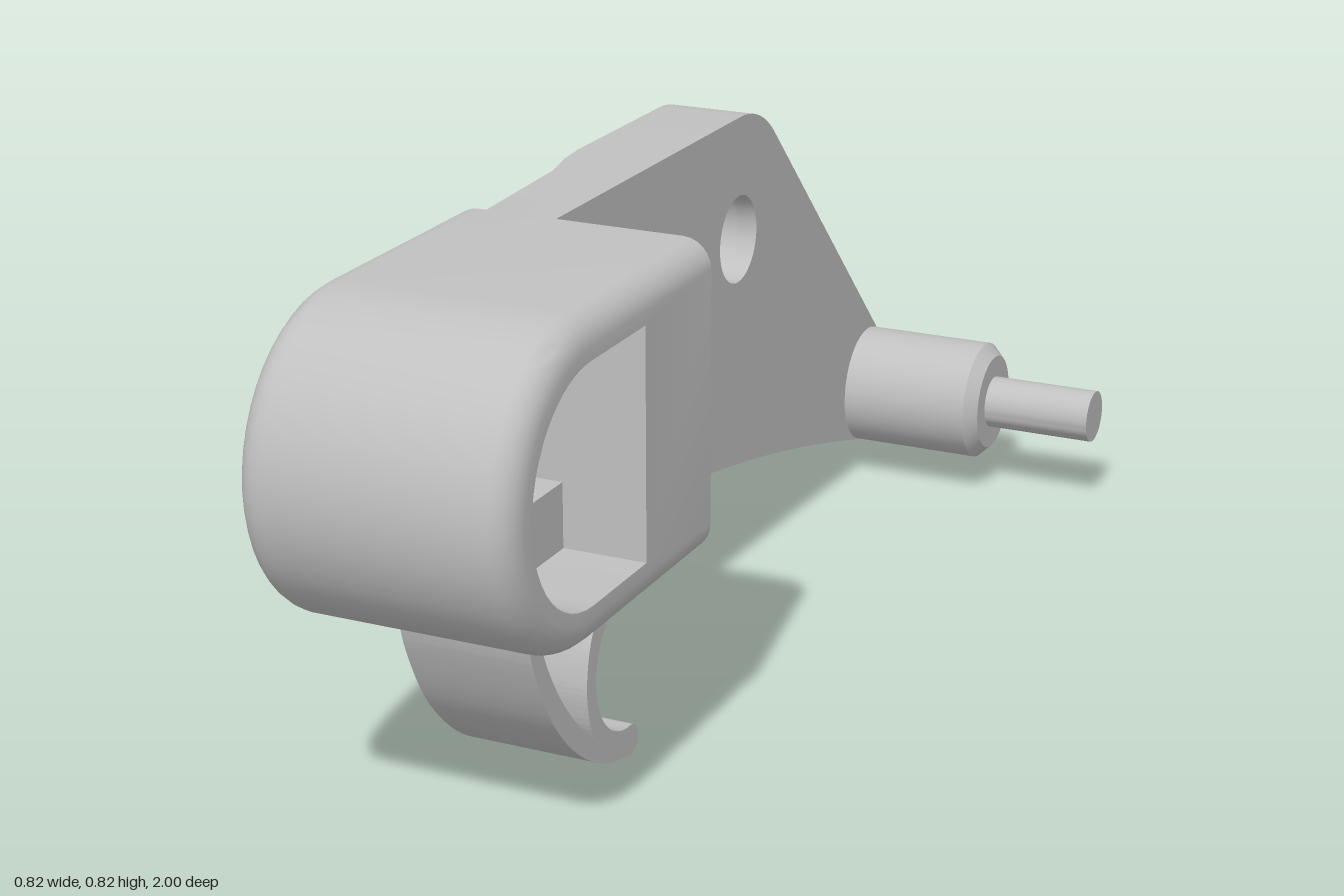
import * as THREE from 'three';
import { toCreasedNormals } from 'three/addons/utils/BufferGeometryUtils.js';

const V = (z, y) => new THREE.Vector2(z, y);

// Extrude a shape drawn in (z, y) between two x positions
function slab(shape, x0, x1) {
  const g = new THREE.ExtrudeGeometry(shape, { depth: x1 - x0, bevelEnabled: false, curveSegments: 20 });
  g.rotateY(-Math.PI / 2);
  g.translate(x1, 0, 0);
  return g;
}

function circlePath(z, y, r, Type = THREE.Path) {
  return new Type().absarc(z, y, r, 0, Math.PI * 2, false);
}

// D-shaped section: flat at the back, half round at the front
function dSection(r, back) {
  const pts = [V(back, 0.578 + r)];
  for (let i = 0; i <= 24; i++) {
    const a = Math.PI / 2 - (Math.PI * i) / 24;
    pts.push(V(0.757 + r * Math.cos(a), 0.578 + r * Math.sin(a)));
  }
  pts.push(V(back, 0.578 - r));
  return pts;
}

// Skin a closed loop of rings
function loopLoft(rings) {
  const pos = [];
  const n = rings[0].pts.length;
  const put = (i, j) => {
    const ring = rings[i % rings.length], p = ring.pts[j % n];
    pos.push(ring.x, p.y, p.x);
  };
  for (let i = 0; i < rings.length; i++) {
    for (let j = 0; j < n; j++) {
      put(i, j); put(i + 1, j); put(i + 1, j + 1);
      put(i, j); put(i + 1, j + 1); put(i, j + 1);
    }
  }
  const g = new THREE.BufferGeometry();
  g.setAttribute('position', new THREE.Float32BufferAttribute(pos, 3));
  return g;
}

export function createModel() {
  const model = new THREE.Group();
  const grey = new THREE.MeshStandardMaterial({ color: 0xc0c0c0 });
  grey.name = 'light grey';

  function add(name, geometry) {
    const mesh = new THREE.Mesh(toCreasedNormals(geometry, 0.55), grey);
    mesh.name = name;
    model.add(mesh);
    return mesh;
  }

  // Arm outline, used by both the web and the rim
  function armShape() {
    const s = new THREE.Shape();
    s.moveTo(0.4, 0.82);
    for (const z of [0.22, 0.165, 0.11, 0.055, 0, -0.3]) s.lineTo(z, 0.82);
    s.quadraticCurveTo(-0.38, 0.82, -0.44, 0.765);
    s.lineTo(-0.965, 0.24);
    s.lineTo(-0.98, 0.165);
    s.lineTo(-0.86, 0.064);
    s.quadraticCurveTo(-0.14, 0.28, 0.4, 0.285);
    s.closePath();
    return s;
  }
  const holes = [[0.145, 0.61], [-0.295, 0.61]];

  const web = armShape();
  holes.forEach(([z, y]) => web.holes.push(circlePath(z, y, 0.075)));
  add('armWeb', slab(web, -0.075, -0.04));

  // Rim around the hollow side, its top edge narrowing toward the head
  const rim = armShape();
  const inner = new THREE.Path();
  inner.moveTo(0.37, 0.79);
  for (const z of [0.22, 0.165, 0.11, 0.055, 0, -0.29]) inner.lineTo(z, 0.79);
  inner.quadraticCurveTo(-0.36, 0.79, -0.415, 0.74);
  inner.lineTo(-0.84, 0.315);
  inner.lineTo(-0.79, 0.12);
  inner.quadraticCurveTo(-0.14, 0.308, 0.37, 0.315);
  inner.closePath();
  rim.holes.push(inner);
  const rimGeo = slab(rim, -0.19, -0.075);
  const p = rimGeo.attributes.position;
  for (let i = 0; i < p.count; i++) {
    if (p.getX(i) < -0.15 && p.getY(i) > 0.7 && p.getZ(i) > 0) {
      p.setX(i, -0.19 + 0.035 * THREE.MathUtils.smoothstep(p.getZ(i), 0, 0.22));
    }
  }
  add('armRim', rimGeo);

  // Sleeves round the two holes
  for (const [z, y] of holes) {
    const ring = circlePath(z, y, 0.11, THREE.Shape);
    ring.holes.push(circlePath(z, y, 0.075));
    add('holeSleeve', slab(ring, -0.165, -0.07));
  }

  // Stiffening ribs
  const ribs = [
    [-0.19, 0.61, 0.04, 0.61], [0.25, 0.61, 0.39, 0.61],
    [0.22, 0.685, 0.39, 0.79], [0.22, 0.54, 0.39, 0.46],
  ];
  for (const [z0, y0, z1, y1] of ribs) {
    const g = new THREE.BoxGeometry(0.08, 0.028, Math.hypot(z1 - z0, y1 - y0));
    g.rotateX(-Math.atan2(y1 - y0, z1 - z0));
    g.translate(-0.105, (y0 + y1) / 2, (z0 + z1) / 2);
    add('armRib', g);
  }

  // Head: rounded ring with a D-shaped opening
  const X = 0.213, B = 0.045, outer = [];
  for (let i = 0; i <= 6; i++) {
    const a = (Math.PI / 2) * (i / 6);
    outer.push({ x: X - B + B * Math.cos(a), pts: dSection(0.243 - B + B * Math.sin(a), 0.37) });
  }
  const mirrored = outer.map((r) => ({ x: -r.x, pts: r.pts })).reverse();
  const bore = dSection(0.178, 0.59);
  add('head', loopLoft([{ x: -X, pts: bore }, { x: X, pts: bore }, ...outer, ...mirrored]));

  // Partition and rounded stop inside the opening
  add('headPartition', slab(new THREE.Shape(dSection(0.182, 0.58)), -0.06, -0.02));
  const stop = new THREE.Shape();
  stop.moveTo(0.58, 0.39);
  stop.lineTo(0.78, 0.39);
  stop.lineTo(0.78, 0.41);
  stop.quadraticCurveTo(0.765, 0.502, 0.67, 0.502);
  stop.lineTo(0.58, 0.502);
  stop.closePath();
  add('headStop', slab(stop, -0.03, 0.08));

  // Foot joining the arm to the underside of the head
  const foot = new THREE.BoxGeometry(0.15, 0.06, 0.17);
  foot.translate(-0.115, 0.315, 0.455);
  add('armFoot', foot);

  // Hook with a triangular recess on both sides
  function hookShape() {
    const s = new THREE.Shape();
    s.moveTo(0.4, 0.35);
    s.lineTo(0.755, 0.35);
    s.splineThru([V(0.735, 0.27), V(0.68, 0.165), V(0.6, 0.08), V(0.51, 0.025), V(0.425, 0.002)]);
    s.absarc(0.425, 0.027, 0.025, -Math.PI / 2, -Math.PI * 1.5, true);
    s.absarc(0.425, 0.167, 0.115, -Math.PI / 2, Math.PI / 2, false);
    s.lineTo(0.4, 0.285);
    s.closePath();
    return s;
  }
  const hook = hookShape();
  const recess = new THREE.Path();
  recess.moveTo(0.712, 0.3);
  recess.lineTo(0.5, 0.3);
  recess.splineThru([V(0.55, 0.25), V(0.569, 0.18), V(0.563, 0.12), V(0.548, 0.082)]);
  recess.quadraticCurveTo(0.66, 0.17, 0.712, 0.3);
  hook.holes.push(recess);
  add('hook', slab(hook, -0.105, 0.105));
  const hookWeb = new THREE.Shape([V(0.72, 0.31), V(0.49, 0.31), V(0.56, 0.24), V(0.56, 0.1), V(0.545, 0.075), V(0.65, 0.15)]);
  add('hookWeb', slab(hookWeb, -0.03, 0.03));

  // Pivot bushing with a pin through it
  const half = [[0, 0.41], [0.047, 0.41], [0.047, 0.214], [0.086, 0.214], [0.107, 0.193]];
  const profile = [
    ...half.map(([r, h]) => V(r, -h)),
    ...half.map(([r, h]) => V(r, h)).reverse(),
  ];
  const pivot = new THREE.LatheGeometry(profile, 40);
  pivot.rotateZ(-Math.PI / 2);
  pivot.translate(0, 0.167, -0.893);
  add('pivotPin', pivot);

  return model;
}
